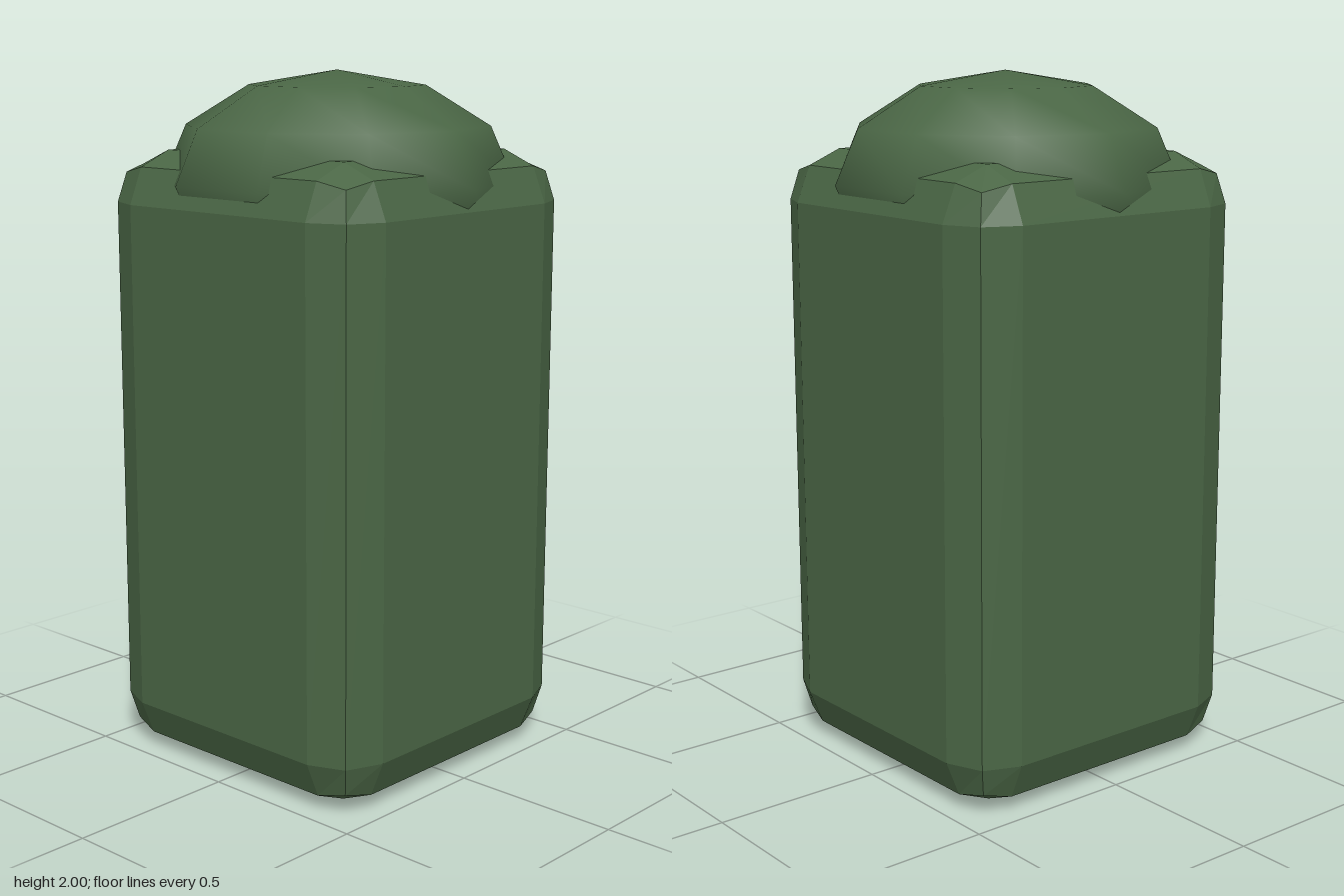
import * as THREE from 'three';
import { RoundedBoxGeometry } from 'three/addons/geometries/RoundedBoxGeometry.js';

export function createModel() {
  const group = new THREE.Group();
  group.name = 'domedBin';
  const color = 0x4a6645;

  // Tall square body with two-facet bevels
  const width = 0.974, height = 1.776;
  const body = new THREE.Mesh(
    new RoundedBoxGeometry(width, height, width, 1, 0.147),
    new THREE.MeshStandardMaterial({ color, flatShading: true })
  );
  body.name = 'body';
  body.position.y = height / 2;
  group.add(body);

  // Flattened ten-sided dome sunk into the top, one vertex facing front
  const radius = 0.506, rise = 0.31;
  const dome = new THREE.Mesh(
    new THREE.SphereGeometry(radius, 10, 6),
    new THREE.MeshStandardMaterial({ color })
  );
  dome.name = 'domeLid';
  dome.scale.y = rise / radius;
  dome.rotation.y = Math.PI / 2;
  dome.position.y = 2 - rise;
  group.add(dome);

  return group;
}
